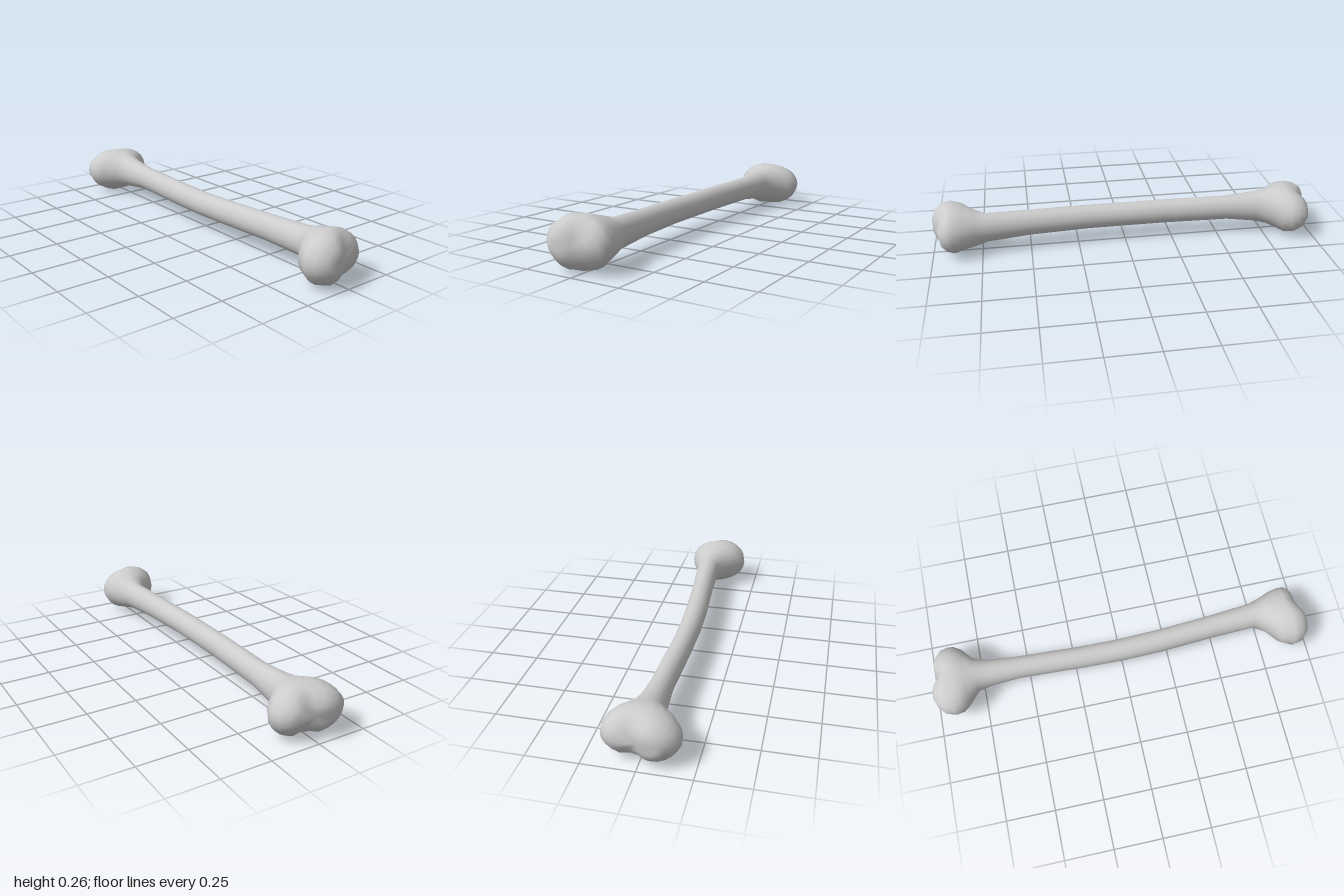
import * as THREE from 'three';

// Cross-sections along the bone, back to front: z, xMin, xMax, yMin, yMax
const RINGS = [
  [-1.0, -0.09, 0.10, 0.09, 0.18],
  [-0.985, -0.13, 0.14, 0.055, 0.215],
  [-0.95, -0.17, 0.172, 0.022, 0.242],
  [-0.9, -0.182, 0.182, 0.002, 0.255],
  [-0.86, -0.175, 0.176, 0.002, 0.258],
  [-0.82, -0.145, 0.15, 0.022, 0.25],
  [-0.77, -0.085, 0.09, 0.045, 0.236],
  [-0.7, -0.07, 0.065, 0.06, 0.225],
  [-0.55, -0.062, 0.05, 0.08, 0.21],
  [-0.2, -0.076, 0.035, 0.078, 0.206],
  [0.0, -0.08, 0.034, 0.077, 0.203],
  [0.2, -0.076, 0.04, 0.079, 0.206],
  [0.5, -0.056, 0.06, 0.077, 0.211],
  [0.72, -0.046, 0.082, 0.065, 0.217],
  [0.78, -0.08, 0.102, 0.045, 0.232],
  [0.84, -0.155, 0.127, 0.025, 0.254],
  [0.9, -0.182, 0.138, 0.005, 0.267],
  [0.95, -0.172, 0.136, 0.02, 0.256],
  [0.985, -0.135, 0.112, 0.05, 0.22],
  [1.0, -0.085, 0.06, 0.085, 0.18],
];
const SIDES = 24;
const bump = (x, centre, width) => Math.exp(-(((x - centre) / width) ** 2));

// Sets one lobe back from the other and presses a shallow groove between them
function shapeEnd(x, y, z) {
  const w = THREE.MathUtils.smoothstep(Math.abs(z), 0.84, 0.99);
  const step = THREE.MathUtils.smoothstep(x, -0.08, 0.03);
  const back = z < 0;
  const dz = back ? 0.024 * step + 0.02 * bump(x, 0.03, 0.035)
    : 0.035 * step + 0.006 * bump(x, 0.02, 0.035);
  const pinch = THREE.MathUtils.smoothstep(Math.abs(z), 0.8, 0.9) * bump(x, 0.02, 0.05);
  const depth = (back ? 0.14 : 0.05) * (y < 0.13 ? 1 : 0.3);
  return [x, 0.13 + (y - 0.13) * (1 - depth * pinch), z - Math.sign(z) * dz * w];
}

function boneGeometry() {
  const points = [];
  const index = [];
  for (const [z, x0, x1, y0, y1] of RINGS) {
    for (let i = 0; i < SIDES; i++) {
      const a = (i / SIDES) * Math.PI * 2;
      points.push(...shapeEnd(
        (x0 + x1) / 2 + Math.cos(a) * (x1 - x0) / 2,
        (y0 + y1) / 2 + Math.sin(a) * (y1 - y0) / 2, z));
    }
  }
  // Skin between neighbouring rings
  for (let r = 0; r < RINGS.length - 1; r++) {
    for (let i = 0; i < SIDES; i++) {
      const a = r * SIDES + i;
      const b = r * SIDES + (i + 1) % SIDES;
      index.push(a, b, b + SIDES, a, b + SIDES, a + SIDES);
    }
  }
  // Rounded caps closing on a pole
  const last = (RINGS.length - 1) * SIDES;
  const pole = points.length / 3;
  points.push(...shapeEnd(0, 0.135, -1.003), ...shapeEnd(-0.015, 0.13, 1.003));
  for (let i = 0; i < SIDES; i++) {
    const j = (i + 1) % SIDES;
    index.push(pole, j, i, pole + 1, last + i, last + j);
  }
  const geometry = new THREE.BufferGeometry();
  geometry.setAttribute('position', new THREE.Float32BufferAttribute(points, 3));
  geometry.setIndex(index);
  geometry.computeVertexNormals();
  return geometry;
}

export function createModel() {
  const group = new THREE.Group();
  group.name = 'bone';
  const boneGrey = new THREE.MeshStandardMaterial({ color: 0xcccccc });
  boneGrey.name = 'boneGrey';
  const bone = new THREE.Mesh(boneGeometry(), boneGrey);
  bone.name = 'boneShaftAndKnuckles';
  group.add(bone);
  return group;
}
